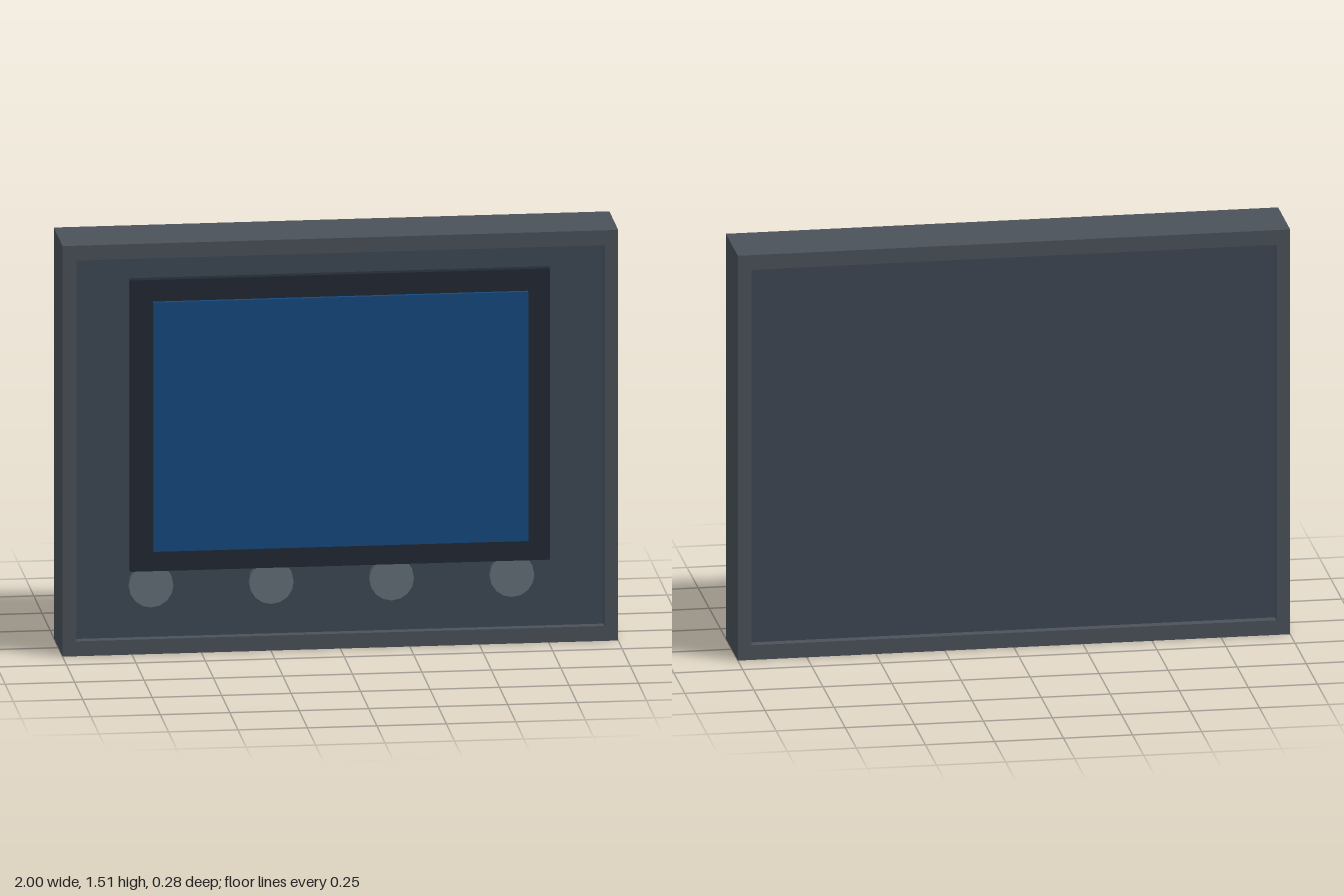
import * as THREE from 'three';

const material = (color) => new THREE.MeshStandardMaterial({ color, flatShading: true });

// Adds a box given by its min and max corners.
function addBox(group, name, mat, [x0, y0, z0], [x1, y1, z1]) {
  const mesh = new THREE.Mesh(new THREE.BoxGeometry(x1 - x0, y1 - y0, z1 - z0), mat);
  mesh.position.set((x0 + x1) / 2, (y0 + y1) / 2, (z0 + z1) / 2);
  mesh.name = name;
  group.add(mesh);
}

// Counter-clockwise rectangle outline.
const rectangle = (x0, y0, x1, y1) =>
  [[x0, y0], [x1, y0], [x1, y1], [x0, y1]].map(([x, y]) => new THREE.Vector2(x, y));

export function createModel() {
  const model = new THREE.Group();
  model.name = 'displayUnit';

  // Deep outer frame, open at the front and back
  const outline = new THREE.Shape(rectangle(-1, 0, 1, 1.515));
  outline.holes.push(new THREE.Path(rectangle(-0.95, 0.055, 0.95, 1.46).reverse()));
  const frame = new THREE.Mesh(
    new THREE.ExtrudeGeometry(outline, { depth: 0.27, bevelEnabled: false }),
    material(0x4a525a)
  );
  frame.position.z = -0.14;
  frame.name = 'frame';
  model.add(frame);

  // Panel recessed on both sides, with the bezel and raised screen on its front
  addBox(model, 'panel', material(0x3e4855), [-0.95, 0.055, -0.105], [0.95, 1.46, 0.095]);
  addBox(model, 'bezel', material(0x232a35), [-0.755, 0.305, 0.08], [0.755, 1.38, 0.128]);
  addBox(model, 'screen', material(0x154a80), [-0.675, 0.38, 0.11], [0.675, 1.3, 0.143]);

  // Row of round buttons tucked under the bezel's lower edge
  const buttonGeometry = new THREE.CylinderGeometry(0.08, 0.08, 0.04, 16).rotateX(Math.PI / 2);
  const buttonMaterial = material(0x66707a);
  for (let i = 0; i < 4; i++) {
    const button = new THREE.Mesh(buttonGeometry, buttonMaterial);
    button.position.set(-0.68 + i * 0.433, 0.25, 0.102);
    button.name = `button${i + 1}`;
    model.add(button);
  }

  return model;
}
